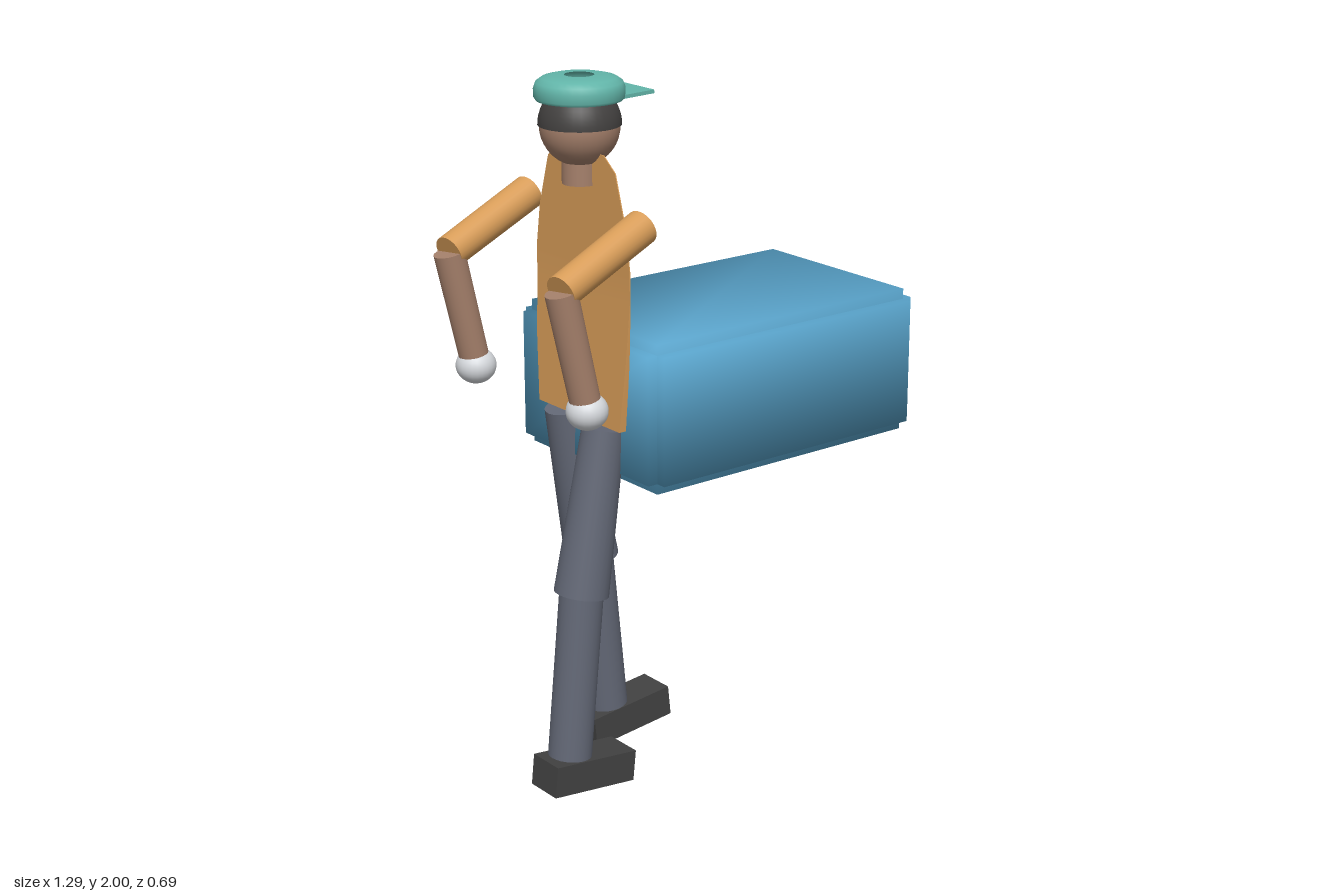
import * as THREE from 'three';
import { mergeVertices } from 'three/addons/utils/BufferGeometryUtils.js';

const material = (name, color, side = THREE.FrontSide) => {
  const m = new THREE.MeshStandardMaterial({ color, side });
  m.name = name;
  return m;
};

export function createModel() {
  const model = new THREE.Group();
  model.name = 'deliveryWorker';
  const CZ = -0.025; // middle of the figure in z
  const HX = -0.315; // head axis in x

  const shirt = material('shirtTan', 0xd79c58);
  const skin = material('skin', 0xa5806b);
  const hairDark = material('hairDark', 0x434140, THREE.DoubleSide);
  const capTeal = material('capTeal', 0x62b5a9, THREE.DoubleSide);
  const trousers = material('trousersGrey', 0x636876);
  const shoe = material('shoeBlack', 0x424242);
  const glove = material('gloveWhite', 0xd6d9dd);
  const blue = material('packageBlue', 0x58a2c9);

  const add = (name, geometry, mat, x = 0, y = 0, z = 0) => {
    const mesh = new THREE.Mesh(geometry, mat);
    mesh.name = name;
    mesh.position.set(x, y, z);
    model.add(mesh);
    return mesh;
  };

  // Tapered limb between two points
  const limb = (name, from, to, rFrom, rTo, mat) => {
    const a = new THREE.Vector3(...from), b = new THREE.Vector3(...to);
    const dir = b.clone().sub(a);
    const mid = a.clone().add(b).multiplyScalar(0.5);
    const mesh = add(name, new THREE.CylinderGeometry(rTo, rFrom, dir.length(), 24), mat, mid.x, mid.y, mid.z);
    mesh.quaternion.setFromUnitVectors(new THREE.Vector3(0, 1, 0), dir.normalize());
    return mesh;
  };

  // Box whose corners share one soft normal
  const softBox = (w, h, d) => {
    const g = new THREE.BoxGeometry(w, h, d);
    g.deleteAttribute('normal');
    g.deleteAttribute('uv');
    const merged = mergeVertices(g);
    merged.computeVertexNormals();
    return merged;
  };

  // Package: three overlapping slabs, each proud in one axis
  const [w, h, d, step] = [0.89, 0.36, 0.57, 0.06];
  [[1, 0, 0], [0, 1, 0], [0, 0, 1]].forEach(([i, j, k], n) => {
    add('packageSlab' + n, softBox(w + i * step, h + j * step, d + k * step), blue, 0.165, 1.11, -0.027);
  });

  // Torso: a thin plate, rows of [y, half width, thickness]
  const rows = [
    [1.8, 0.1, 0.003], [1.76, 0.15, 0.003], [1.62, 0.192, 0.003], [1.5, 0.21, 0.003],
    [1.42, 0.21, 0.003], [1.25, 0.203, 0.013], [1.06, 0.185, 0.022],
  ];
  const torso = new THREE.BoxGeometry(1, 1, 1, 1, rows.length - 1, 1);
  const p = torso.attributes.position;
  for (let i = 0; i < p.count; i++) {
    const [y, half, thick] = rows[Math.round((0.5 - p.getY(i)) * (rows.length - 1))];
    p.setXYZ(i, p.getX(i) > 0 ? -0.31 : -0.31 - thick, y, CZ + Math.sign(p.getZ(i)) * half);
  }
  torso.computeVertexNormals();
  add('torso', torso, shirt);

  // Head, neck and hair; the hair is open at the crown
  add('head', new THREE.SphereGeometry(0.108, 32, 20), skin, HX, 1.865, CZ);
  add('neck', new THREE.CylinderGeometry(0.05, 0.05, 0.1, 24), skin, HX, 1.76, CZ);
  add('hair', new THREE.SphereGeometry(0.112, 32, 12, 0, Math.PI * 2, 0.13, Math.PI / 2 - 0.13), hairDark, HX, 1.868, CZ);

  // Cap: rounded band with a hole on top, and a flat brim
  const capProfile = [
    [0.116, 1.935], [0.121, 1.942], [0.122, 1.965], [0.116, 1.982], [0.1, 1.993], [0.075, 1.999], [0.04, 2.0],
  ].map(([r, y]) => new THREE.Vector2(r, y));
  add('cap', new THREE.LatheGeometry(capProfile, 32), capTeal, HX, 0, CZ);
  add('capBrim', new THREE.BoxGeometry(0.17, 0.01, 0.17), capTeal, -0.213, 1.942, -0.03).rotation.z = 0.03;

  // Arms: both swing the same way
  [['left', 0], ['right', -0.51]].forEach(([side, dz]) => {
    const elbow = [-0.605, 1.525, 0.283 + dz];
    limb(side + 'UpperArm', [-0.304, 1.637, 0.228 + dz], elbow, 0.048, 0.046, shirt);
    limb(side + 'Forearm', elbow, [-0.54, 1.215, 0.295 + dz], 0.043, 0.041, skin);
    add(side + 'Hand', new THREE.SphereGeometry(0.056, 24, 16), glove, -0.537, 1.2, 0.295 + dz).scale.y = 0.9;
  });

  // Legs in mid stride, the left one behind
  [['left', -1, 0.08], ['right', 1, -0.13]].forEach(([side, s, z]) => {
    const knee = -0.312 + s * 0.095;
    limb(side + 'Thigh', [-0.312 + s * 0.013, 1.055, z], [knee, 0.59, z], 0.06, 0.077, trousers);
    limb(side + 'Shin', [knee, 0.59, z], [-0.312 + s * 0.142, 0.115, z], 0.062, 0.062, trousers);
    add(side + 'Shoe', new THREE.BoxGeometry(0.272, 0.09, 0.115), shoe,
      s < 0 ? -0.406 : -0.115, s < 0 ? 0.059 : 0.071, z).rotation.z = s * 0.105;
  });

  return model;
}
